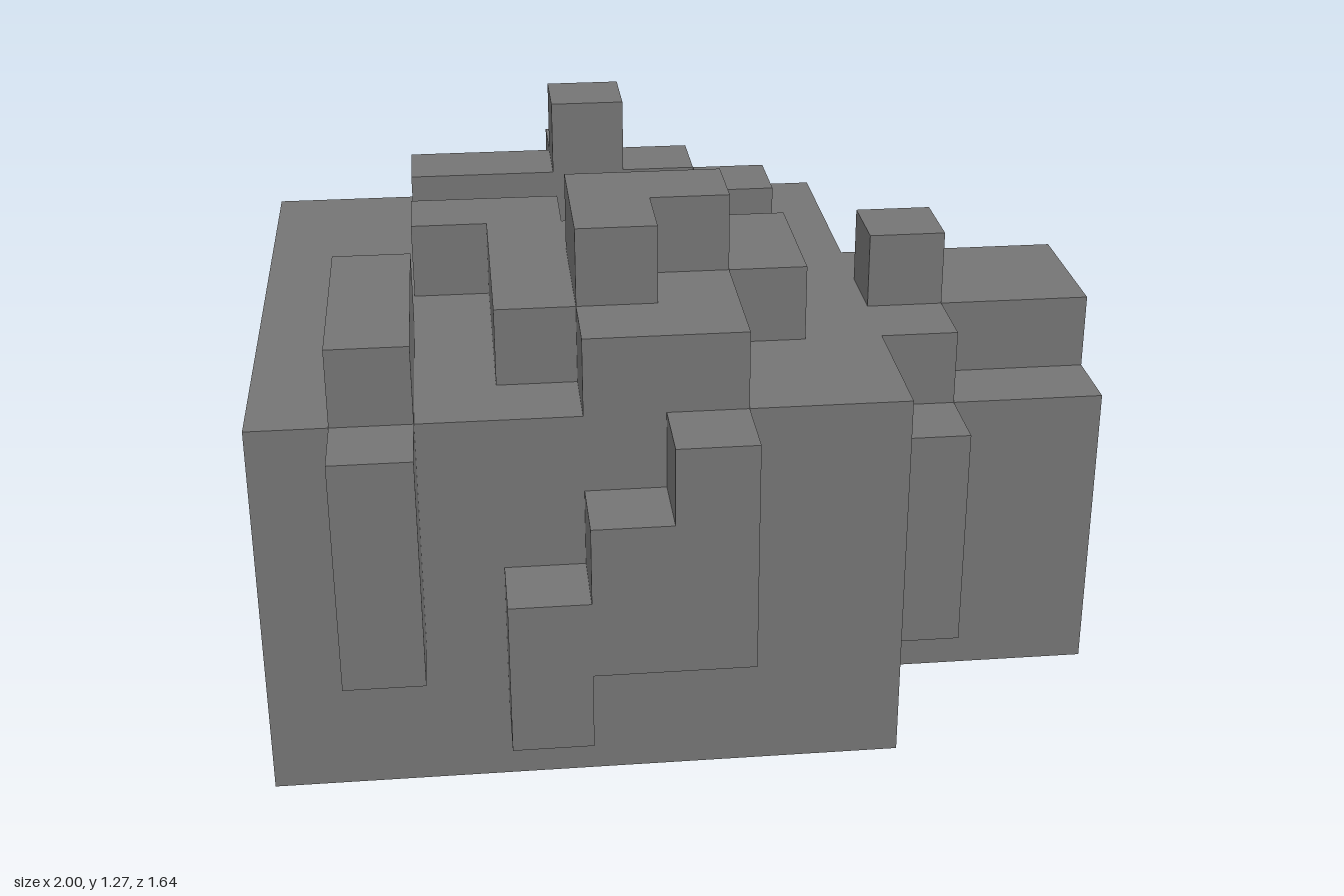
import * as THREE from 'three';

const U = 2 / 11; // edge of one block

export function createModel() {
  const mat = (name, color) => new THREE.MeshStandardMaterial({ name, color });
  const stone = mat('stone grey', 0x747474);
  const wood = mat('floor brown', 0x70562f);
  const dark = mat('dark brown', 0x3d2d22);
  const red = mat('red', 0x942b2b);

  const root = new THREE.Group();
  root.name = 'blockRuin';

  // Fills grid cells [x0,x1) x [y0,y1) x [z0,z1) with one box
  const fill = (parent, name, material, x0, x1, y0, y1, z0, z1) => {
    const geo = new THREE.BoxGeometry((x1 - x0) * U, (y1 - y0) * U, (z1 - z0) * U);
    const mesh = new THREE.Mesh(geo, material);
    mesh.name = name;
    mesh.position.set((x0 + x1 - 11) * U / 2, (y0 + y1) * U / 2, (z0 + z1 - 9) * U / 2);
    parent.add(mesh);
  };
  const part = (name, material, boxes) => {
    const group = new THREE.Group();
    group.name = name;
    boxes.forEach((b, i) => fill(group, `${name}${i + 1}`, material, ...b));
    root.add(group);
  };

  // Hollow main room
  part('roomWall', stone, [
    [0, 8, 0, 5, 0, 1], // back
    [0, 8, 0, 5, 7, 8], // front
    [0, 1, 0, 5, 1, 7], // outer side
    [7, 8, 0, 5, 1, 3], // porch side, around the inlays
    [7, 8, 0, 5, 5, 7],
    [7, 8, 0, 1, 3, 5],
    [7, 8, 1, 2, 4, 5],
    [7, 8, 2, 3, 3, 5],
    [7, 8, 4, 5, 3, 5],
  ]);
  part('floor', wood, [[1, 7, 0, 1, 1, 7]]);
  part('lintel', dark, [[7, 8, 3, 4, 3, 5]]);
  part('redBlock', red, [[7, 8, 1, 2, 3, 4]]);

  // Flat roof with a one-block smoke hole
  part('roof', stone, [
    [1, 7, 4, 5, 1, 3],
    [1, 7, 4, 5, 4, 7],
    [1, 4, 4, 5, 3, 4],
    [5, 7, 4, 5, 3, 4],
  ]);

  // Porch
  part('porch', stone, [
    [8, 11, 0, 1, 2, 6],  // base
    [8, 11, 1, 4, 5, 6],  // front wall
    [8, 10, 1, 3, 2, 3],  // back wall
    [8, 11, 3, 4, 2, 3],  // back beam
    [8, 11, 4, 5, 3, 5],  // roof
    [8, 9, 4, 5, 5, 6],   // roof corner
    [8, 9, 5, 6, 4, 5],   // roof block
    [8, 9, 1, 4, 6, 7],   // front post
    [10, 11, 1, 3, 1, 2], // back post
  ]);

  // Blocks standing out of the front wall
  part('frontRelief', stone, [
    [1, 2, 2, 5, 8, 9],
    [3, 4, 1, 3, 8, 9],
    [4, 5, 2, 4, 8, 9],
    [5, 6, 2, 5, 8, 9],
  ]);

  // Rubble on the roof
  part('roofBlock', stone, [
    [1, 2, 5, 6, 5, 8],
    [2, 6, 5, 6, 1, 2],
    [4, 5, 5, 6, 0, 1],
    [6, 7, 5, 6, 2, 3],
    [2, 4, 5, 6, 3, 4],
    [3, 7, 5, 6, 4, 6],
    [3, 6, 5, 6, 6, 7],
    [4, 6, 5, 6, 7, 8],
  ]);
  part('topBlock', stone, [
    [4, 6, 6, 7, 5, 6],
    [4, 5, 6, 7, 6, 7],
    [4, 5, 6, 7, 1, 2],
  ]);

  return root;
}
